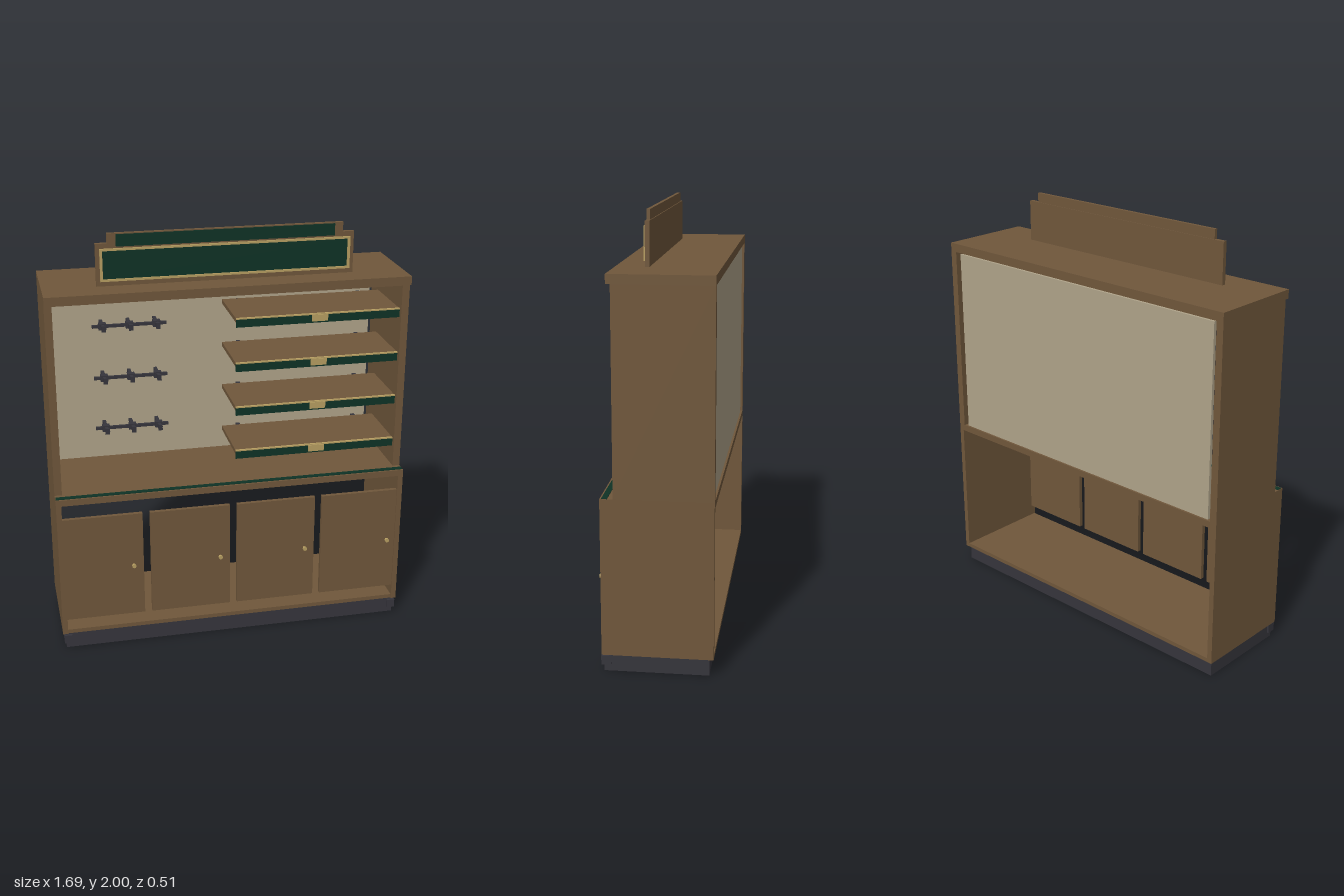
import * as THREE from 'three';

const mat = (name, color) => Object.assign(new THREE.MeshStandardMaterial({ color }), { name });

export function createModel() {
  const wood = mat('brown wood', 0x70573b);
  const green = mat('dark green', 0x0e3226);
  const gold = mat('pale gold', 0xb89f62);
  const beige = mat('beige board', 0xb0a48a);
  const dark = mat('charcoal', 0x36353c);
  const root = new THREE.Group();
  root.name = 'displayCabinet';

  // Box given by its minimum and maximum on each axis
  function box(name, m, x0, x1, y0, y1, z0, z1, parent = root) {
    const mesh = new THREE.Mesh(new THREE.BoxGeometry(x1 - x0, y1 - y0, z1 - z0), m);
    mesh.position.set((x0 + x1) / 2, (y0 + y1) / 2, (z0 + z1) / 2);
    mesh.name = name;
    parent.add(mesh);
    return mesh;
  }
  function group(name) {
    const g = new THREE.Group();
    g.name = name;
    root.add(g);
    return g;
  }

  // Plinth and carcass
  box('plinth', dark, -0.83, 0.83, 0, 0.08, -0.235, 0.23);
  box('cabinetFloor', wood, -0.82, 0.82, 0.08, 0.1, -0.255, 0.235);
  for (const s of [-1, 1]) {
    const side = (name, a, b, ...r) => box(name, wood, Math.min(s * a, s * b), Math.max(s * a, s * b), ...r);
    side('lowerSide', 0.82, 0.845, 0.08, 0.766, -0.255, 0.24);
    side('upperSide', 0.81, 0.845, 0.797, 1.718, -0.255, 0.182);
    box('plinthCorner', dark, s * 0.82 - 0.019, s * 0.82 + 0.019, 0.03, 0.072, 0.2, 0.243);
  }
  box('counter', wood, -0.845, 0.845, 0.766, 0.797, -0.255, 0.24);
  box('counterTopTrim', green, -0.843, 0.843, 0.797, 0.8, 0.207, 0.232);
  box('counterUnderTrim', green, -0.82, 0.82, 0.763, 0.766, 0.207, 0.232);
  box('topBoard', wood, -0.845, 0.845, 1.718, 1.76, -0.255, 0.202);
  box('backBoard', beige, -0.79, 0.79, 0.797, 1.709, -0.245, -0.23);

  // Doors with round knobs
  for (let i = 0; i < 4; i++) {
    const x = -0.828 + i * 0.4225;
    const door = group('door');
    box('doorPanel', wood, x, Math.min(x + 0.387, 0.82), 0.155, 0.69, 0.214, 0.234, door);
    const stem = new THREE.Mesh(new THREE.CylinderGeometry(0.005, 0.005, 0.02, 12), gold);
    stem.rotation.x = Math.PI / 2;
    stem.position.set(x + 0.338, 0.422, 0.238);
    stem.name = 'knobStem';
    const knob = new THREE.Mesh(new THREE.CylinderGeometry(0.01, 0.01, 0.01, 16), gold);
    knob.rotation.x = Math.PI / 2;
    knob.position.set(x + 0.338, 0.422, 0.25);
    knob.name = 'knob';
    door.add(stem, knob);
  }

  // Shelves with green fronts, gold edge and label plate
  for (const y of [0.94, 1.162, 1.381, 1.597]) {
    const shelf = group('shelf');
    box('shelfBoard', wood, 0.025, 0.81, y - 0.022, y - 0.002, -0.16, 0.15, shelf);
    box('shelfFront', green, 0.025, 0.81, y - 0.044, y - 0.006, 0.15, 0.16, shelf);
    box('shelfEdge', gold, 0.025, 0.81, y - 0.006, y, 0.15, 0.161, shelf);
    box('labelPlate', gold, 0.383, 0.46, y - 0.036, y - 0.004, 0.16, 0.166, shelf);
    for (const x of [0.12, 0.725]) {
      box('shelfBracket', dark, x - 0.01, x + 0.01, y - 0.054, y - 0.022, -0.23, 0.12, shelf);
    }
  }

  // Hook rails on the left of the board
  for (const y of [0.98, 1.24, 1.5]) {
    const rail = group('hookRail');
    box('railBar', dark, -0.605, -0.248, y - 0.007, y + 0.007, -0.16, -0.146, rail);
    for (const x of [-0.556, -0.426, -0.296]) {
      box('hookArm', dark, x - 0.008, x + 0.008, y - 0.01, y + 0.01, -0.23, -0.09, rail);
      box('hookClamp', dark, x - 0.018, x + 0.018, y - 0.015, y + 0.015, -0.168, -0.138, rail);
      box('hookTip', dark, x - 0.01, x + 0.01, y - 0.01, y + 0.019, -0.1, -0.088, rail);
    }
  }

  // Stepped header sign
  const sign = group('headerSign');
  box('signBoard', wood, -0.598, 0.598, 1.76, 1.955, 0.053, 0.073, sign);
  box('signTop', wood, -0.545, 0.545, 1.955, 2, 0.057, 0.073, sign);
  box('signTopPanel', green, -0.505, 0.505, 1.94, 1.995, 0.073, 0.079, sign);
  box('signPanel', green, -0.567, 0.567, 1.793, 1.922, 0.073, 0.077, sign);
  for (const y of [1.782, 1.922]) box('signTrim', gold, -0.58, 0.58, y, y + 0.01, 0.073, 0.081, sign);
  for (const x of [-0.58, 0.568]) box('signTrim', gold, x, x + 0.012, 1.792, 1.922, 0.073, 0.081, sign);

  return root;
}
